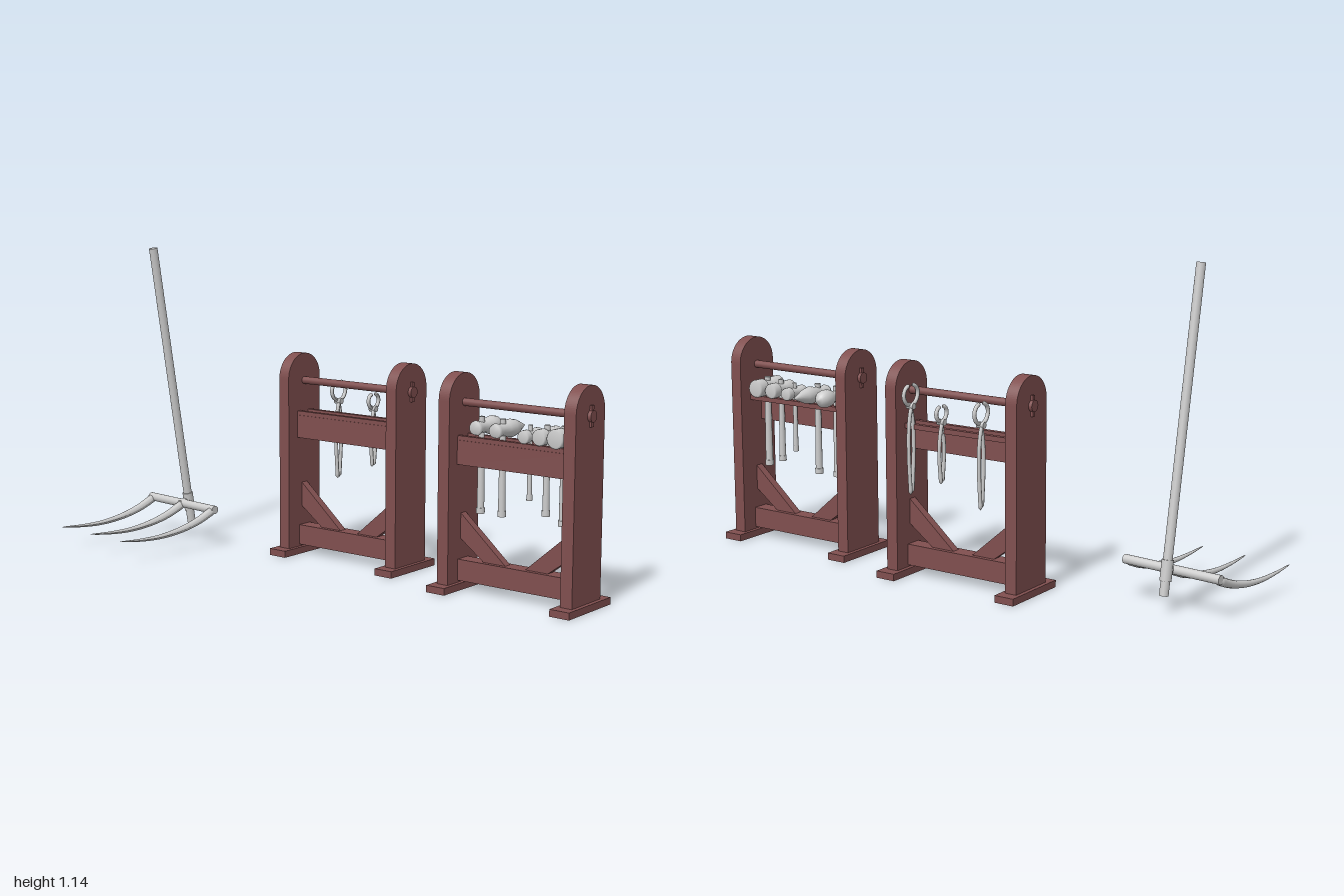
import * as THREE from 'three';

const grey = new THREE.MeshStandardMaterial({ color: 0xcccccc });
const wood = new THREE.MeshStandardMaterial({ color: 0x804f4f });
const V = (x, y, z) => new THREE.Vector3(x, y, z);

function add(parent, name, geo, mat, x = 0, y = 0, z = 0) {
  const m = new THREE.Mesh(geo, mat);
  m.name = name;
  m.position.set(x, y, z);
  parent.add(m);
  return m;
}

const box = (w, h, d) => new THREE.BoxGeometry(w, h, d);

// Cylinder running from point a to point b
function bar(parent, name, a, b, ra, rb, mat) {
  const dir = b.clone().sub(a);
  const m = add(parent, name, new THREE.CylinderGeometry(rb, ra, dir.length(), 16), mat);
  m.position.copy(a).addScaledVector(dir, 0.5);
  m.quaternion.setFromUnitVectors(V(0, 1, 0), dir.normalize());
  return m;
}

// Tube whose radius follows a function of the way along it, closed at both ends
function taperedTube(points, radius, segs = 28, sides = 12) {
  const curve = new THREE.CatmullRomCurve3(points);
  const geo = new THREE.TubeGeometry(curve, segs, 1, sides);
  const pos = geo.attributes.position;
  const v = V(0, 0, 0);
  for (let i = 0; i < pos.count; i++) {
    const t = Math.floor(i / (sides + 1)) / segs;
    const c = curve.getPointAt(t);
    const end = t === 0 || t === 1 ? 0 : 1;
    v.fromBufferAttribute(pos, i).sub(c).multiplyScalar(radius(t) * end).add(c);
    pos.setXYZ(i, v.x, v.y, v.z);
  }
  geo.computeVertexNormals();
  return geo;
}

// Upright board with a round top
function boardGeometry() {
  const s = new THREE.Shape();
  s.moveTo(-0.09, 0.025);
  s.lineTo(0.09, 0.025);
  s.lineTo(0.09, 0.667);
  s.absarc(0, 0.667, 0.09, 0, Math.PI, false);
  s.closePath();
  const geo = new THREE.ExtrudeGeometry(s, { depth: 0.045, bevelEnabled: false, curveSegments: 24 });
  return geo.translate(0, 0, -0.0225);
}

// Diagonal brace between the lower beam and an upright
function braceGeometry(side) {
  const pts = [[0.228, 0.18], [0.228, 0.27], [0.04, 0.108], [0.13, 0.108]];
  const s = new THREE.Shape(pts.map(([z, y]) => new THREE.Vector2(z * side, y)));
  const geo = new THREE.ExtrudeGeometry(s, { depth: 0.03, bevelEnabled: false });
  return geo.translate(0, 0, -0.015).rotateY(-Math.PI / 2);
}

function makeRack(name, z) {
  const rack = new THREE.Group();
  rack.name = name;
  rack.position.set(0.248, 0, z);
  rack.rotation.y = 0.0957;
  for (const side of [-1, 1]) {
    add(rack, 'foot', box(0.263, 0.025, 0.075), wood, 0, 0.0125, 0.249 * side);
    add(rack, 'uprightBoard', boardGeometry(), wood, 0, 0, 0.249 * side);
    add(rack, 'brace', braceGeometry(side), wood);
    // Rod end with its locking key
    bar(rack, 'rodEnd', V(0, 0.655, 0.265 * side), V(0, 0.655, 0.284 * side), 0.02, 0.02, wood);
    add(rack, 'rodKey', box(0.014, 0.072, 0.012), wood, 0, 0.655, 0.274 * side);
    // Thin rails that carry the tools
    add(rack, 'toolRail', box(0.018, 0.018, 0.46), wood, 0.03 * side, 0.534, 0);
  }
  bar(rack, 'topRod', V(0, 0.655, -0.265), V(0, 0.655, 0.265), 0.014, 0.014, wood);
  add(rack, 'backPlank', box(0.022, 0.085, 0.46), wood, -0.03, 0.485, 0);
  add(rack, 'lowerBeam', box(0.06, 0.075, 0.46), wood, 0, 0.07, 0);
  return rack;
}

// Hammer: lathed head lying along x and a hanging handle
function addHammer(rack, z, bottom, y, profile, grip) {
  const hammer = new THREE.Group();
  hammer.name = 'hammer';
  hammer.position.z = z;
  rack.add(hammer);
  const pts = profile.map(([x, r]) => new THREE.Vector2(r, x));
  const head = new THREE.LatheGeometry(pts, 20).rotateZ(-Math.PI / 2).scale(1, -1, -1);
  add(hammer, 'hammerHead', head, grey, 0.003, y, 0);
  bar(hammer, 'hammerHandle', V(0, bottom, 0), V(0, y + 0.037, 0), grip, grip * 0.8, grey);
  bar(hammer, 'handleKnob', V(0, bottom, 0), V(0, bottom + 0.02, 0), grip * 1.15, grip * 1.15, grey);
}

// Mallet profile with chamfered ends and a narrower middle
const mallet = (h, r) => [[-h, 0], [-h, r * 0.85], [-h + 0.006, r], [-0.025, r], [-0.018, r * 0.78],
  [0.018, r * 0.78], [0.025, r], [h - 0.006, r], [h, r * 0.85], [h, 0]];

// Tongs: two mirrored arms that form round jaws above a pivot
function addTongs(rack, z, bottom, top, r, x) {
  const tongs = new THREE.Group();
  tongs.name = 'tongs';
  tongs.position.set(x, 0, z);
  rack.add(tongs);
  const pivot = top - 2 * r;
  for (const s of [-1, 1]) {
    const pts = [V(s * 0.006, top - 0.004, 0), V(s * r * 0.75, top - r * 0.4, 0), V(s * r, top - r, 0),
      V(s * r * 0.7, top - r * 1.65, 0), V(0, pivot, s * 0.004),
      V(-s * 0.016, pivot - 0.05, s * 0.005), V(-s * 0.022, (pivot + bottom) / 2, s * 0.006),
      V(-s * 0.014, bottom, s * 0.007)];
    add(tongs, 'tongArm', taperedTube(pts, () => 0.007, 44, 8), grey);
  }
  bar(tongs, 'tongPivot', V(0, pivot, -0.014), V(0, pivot, 0.014), 0.011, 0.011, grey);
}

function makeFork() {
  const fork = new THREE.Group();
  fork.name = 'hayFork';
  fork.position.z = -0.805;
  const a = V(0.09, 0.06, 0), b = V(-0.085, 1.138, 0);
  bar(fork, 'forkHandle', a, b, 0.016, 0.016, grey);
  bar(fork, 'forkCollar', a.clone().lerp(b, 0.045), a.clone().lerp(b, 0.11), 0.02, 0.02, grey);
  bar(fork, 'crossbar', V(0.045, 0.14, -0.19), V(0.045, 0.14, 0.19), 0.016, 0.016, grey);
  bar(fork, 'crossbarSocket', V(0.035, 0.137, 0), V(0.078, 0.147, 0), 0.016, 0.016, grey);
  const path = [[0.05, 0.14], [-0.03, 0.107], [-0.12, 0.085], [-0.22, 0.075], [-0.32, 0.078], [-0.41, 0.087]];
  for (const z of [-0.176, 0, 0.176]) {
    const pts = path.map(([x, y]) => V(x, y, z));
    add(fork, 'tine', taperedTube(pts, t => 0.0155 * (1 - t) ** 0.75 + 0.001), grey);
  }
  return fork;
}

export function createModel() {
  const model = new THREE.Group();
  model.name = 'toolRacks';

  const hammers = makeRack('hammerRack', 0.7);
  addHammer(hammers, 0.175, 0.275, 0.575, mallet(0.068, 0.033), 0.014);
  addHammer(hammers, 0.108, 0.3, 0.572, mallet(0.06, 0.028), 0.012);
  addHammer(hammers, 0.042, 0.345, 0.566, mallet(0.052, 0.023), 0.009);
  // Spiked hammer
  addHammer(hammers, -0.068, 0.275, 0.575,
    [[-0.055, 0], [-0.055, 0.022], [-0.045, 0.026], [-0.02, 0.02], [0.01, 0.026], [0.04, 0.032], [0.07, 0.026], [0.133, 0]], 0.013);
  // Round-faced hammer
  addHammer(hammers, -0.155, 0.275, 0.575,
    [[-0.045, 0], [-0.045, 0.022], [-0.035, 0.026], [-0.015, 0.02], [0.02, 0.021], [0.04, 0.03], [0.06, 0.033],
      [0.08, 0.029], [0.094, 0.017], [0.1, 0]], 0.013);

  const tongRack = makeRack('tongRack', -0.085);
  addTongs(tongRack, 0.188, 0.3, 0.69, 0.04, 0.055);
  addTongs(tongRack, 0.062, 0.355, 0.628, 0.03, 0.05);
  addTongs(tongRack, -0.108, 0.29, 0.66, 0.04, 0.058);

  model.add(hammers, tongRack, makeFork());
  return model;
}
